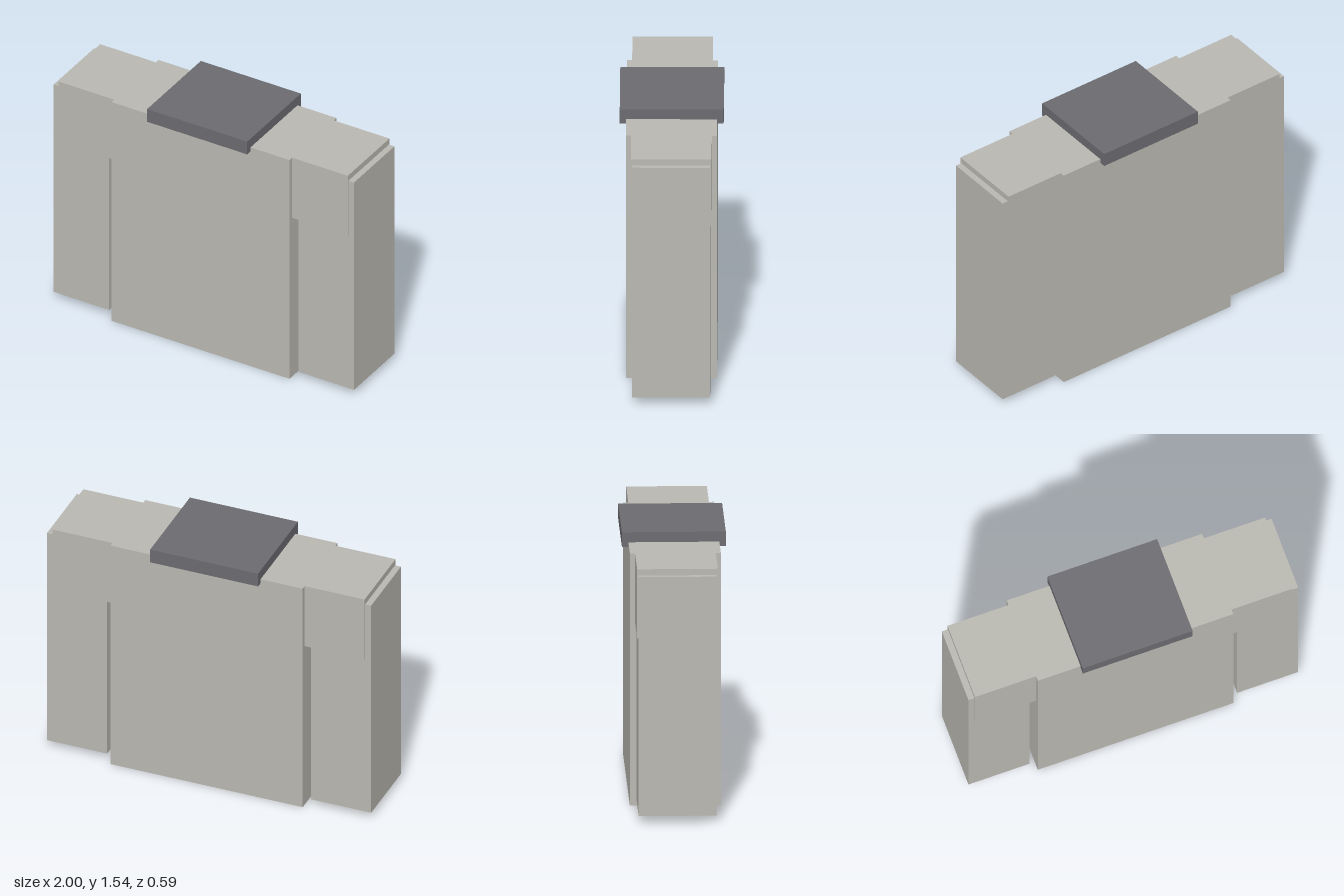
import * as THREE from 'three';

export function createModel() {
  const model = new THREE.Group();
  model.name = 'blockJacket';

  const cloth = new THREE.MeshStandardMaterial({ color: 0xbab8b1 });
  cloth.name = 'light grey cloth';
  const trim = new THREE.MeshStandardMaterial({ color: 0x6c6b70 });
  trim.name = 'dark grey trim';

  // Box spanning x0..x1 and y0..y1, centred on z = 0
  function addBox(name, material, x0, x1, y0, y1, depth) {
    const mesh = new THREE.Mesh(new THREE.BoxGeometry(x1 - x0, y1 - y0, depth), material);
    mesh.position.set((x0 + x1) / 2, (y0 + y1) / 2, 0);
    mesh.name = name;
    model.add(mesh);
  }

  // Body and collar
  addBox('torso', cloth, -0.593, 0.593, 0, 1.482, 0.519);
  addBox('collar', trim, -0.333, 0.333, 1.455, 1.541, 0.593);

  // Sleeves with a slightly deeper shoulder cap joining them to the body
  for (const [side, s] of [['left', 1], ['right', -1]]) {
    const span = (a, b) => (s > 0 ? [a, b] : [-b, -a]);
    addBox(side + 'Sleeve', cloth, ...span(0.63, 1), 0.04, 1.445, 0.445);
    addBox(side + 'Shoulder', cloth, ...span(0.593, 0.963), 1.075, 1.482, 0.46);
  }

  return model;
}
